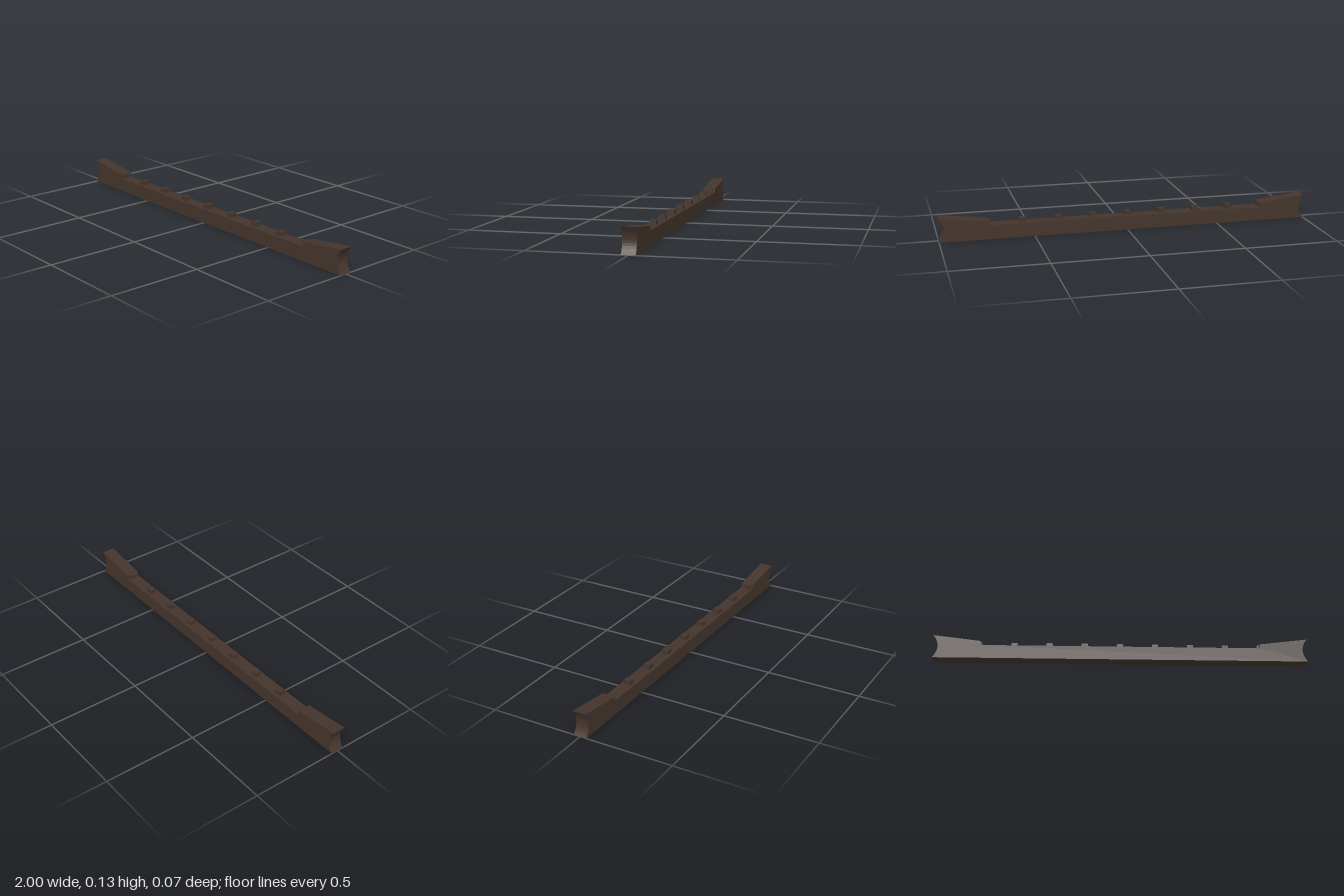
import * as THREE from 'three';

export function createModel() {
  const group = new THREE.Group();
  const wood = new THREE.MeshStandardMaterial({ color: 0x44352c });
  wood.name = 'dark brown wood';

  const depth = 0.07, deck = 0.075, shoulder = 0.098, tip = 0.13;
  const rampX = 0.745, hollow = 0.025;

  // Beam outline: flat deck, rising ends, hollowed end faces
  const outline = new THREE.Shape();
  outline.moveTo(-1, 0);
  outline.lineTo(1, 0);
  outline.quadraticCurveTo(1 - 2 * hollow, tip / 2, 1, tip);
  outline.lineTo(rampX, shoulder);
  outline.lineTo(rampX, deck);
  outline.lineTo(-rampX, deck);
  outline.lineTo(-rampX, shoulder);
  outline.lineTo(-1, tip);
  outline.quadraticCurveTo(-1 + 2 * hollow, tip / 2, -1, 0);
  const beamGeometry = new THREE.ExtrudeGeometry(outline, { depth, bevelEnabled: false, curveSegments: 10 });
  beamGeometry.translate(0, 0, -depth / 2);
  const beam = new THREE.Mesh(beamGeometry, wood);
  beam.name = 'beam';
  group.add(beam);

  // Row of nine square pegs, the outer ones sunk into the raised ends
  const pegGeometry = new THREE.BoxGeometry(0.034, 0.034, 0.036);
  for (let i = -4; i <= 4; i++) {
    const peg = new THREE.Mesh(pegGeometry, wood);
    peg.name = `peg${i + 5}`;
    peg.position.set(-0.004 + i * 0.188, 0.081, 0);
    group.add(peg);
  }
  return group;
}
